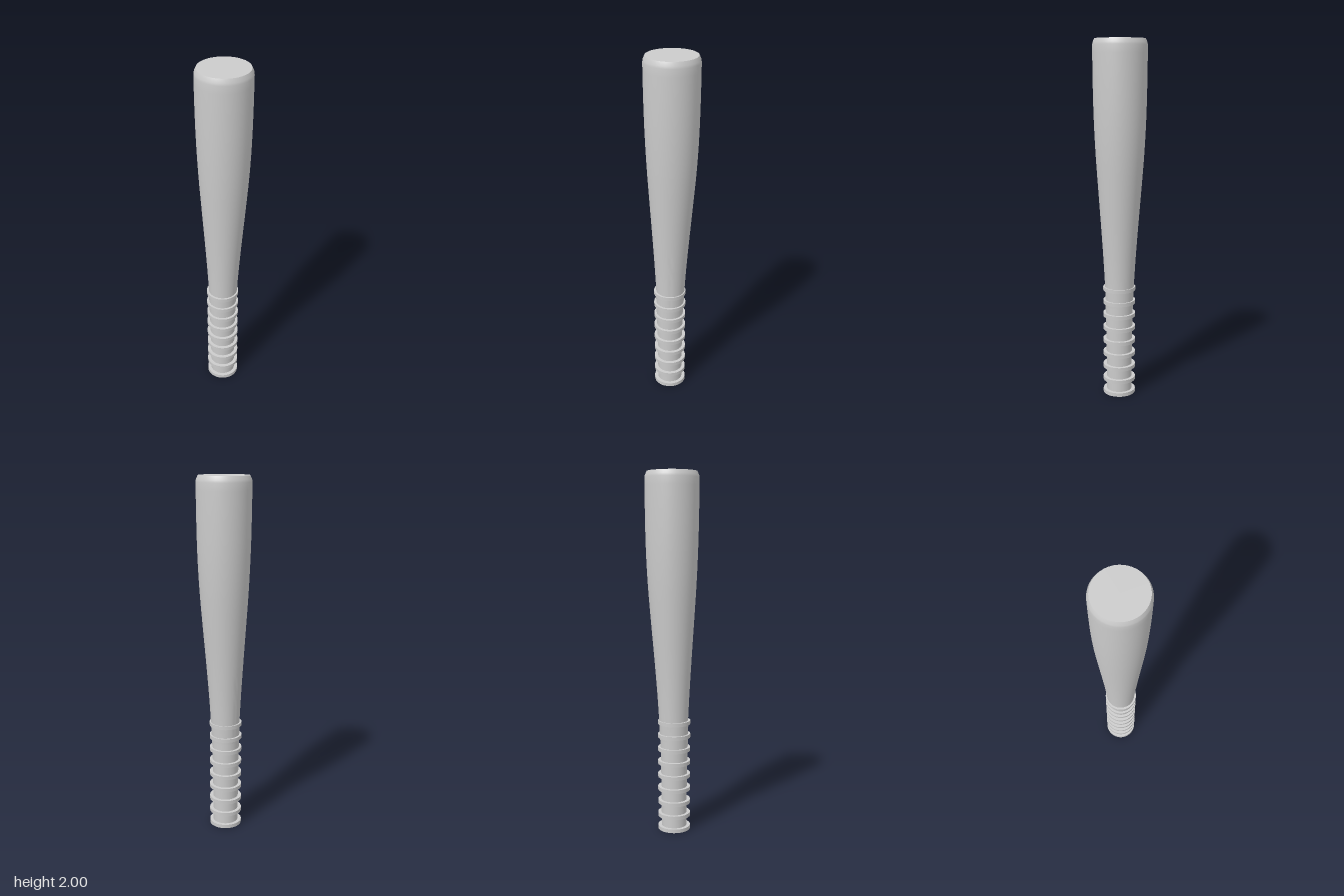
import * as THREE from 'three';
import { toCreasedNormals } from 'three/addons/utils/BufferGeometryUtils.js';

const SEGMENTS = 40;
const HANDLE_X = -0.013; // the handle sits slightly off the barrel axis

export function createModel() {
  const group = new THREE.Group();
  const material = new THREE.MeshStandardMaterial({ color: 0xcccccc });

  // Turned part from [radius, y] pairs, with its axis moved in x by offset(y)
  function turned(name, profile, offset) {
    const points = profile.map(([r, y]) => new THREE.Vector2(r, y));
    const geometry = new THREE.LatheGeometry(points, SEGMENTS);
    const pos = geometry.attributes.position;
    for (let i = 0; i < pos.count; i++) {
      pos.setX(i, pos.getX(i) + offset(pos.getY(i)));
    }
    const mesh = new THREE.Mesh(toCreasedNormals(geometry, Math.PI / 7), material);
    mesh.name = name;
    group.add(mesh);
  }

  // Barrel: smooth taper, rounded rim and flat end
  const taper = new THREE.SplineCurve([
    [0.077, 0.52], [0.082, 0.64], [0.091, 0.8], [0.105, 1.0], [0.12, 1.2],
    [0.134, 1.4], [0.143, 1.6], [0.147, 1.8], [0.148, 1.967],
  ].map(([r, y]) => new THREE.Vector2(r, y)));
  const side = taper.getPoints(24).map((p) => [p.x, p.y]);
  const barrelOffset = (y) => -0.010 * (1 - THREE.MathUtils.smoothstep(y, 0.5, 1.6));
  turned('barrel', [[0, 0.52], ...side, [0.146, 1.98], [0.137, 2], [0, 2]], barrelOffset);

  // Handle: nearly straight grip
  const handleOffset = () => HANDLE_X;
  turned('handle', [[0, 0.01], [0.071, 0.01], [0.072, 0.2], [0.075, 0.4], [0.08, 0.62], [0, 0.62]], handleOffset);

  // Grip rings, the lowest one forming the end cap
  for (let i = 0; i < 9; i++) {
    const y = i * 0.0767;
    const name = i === 0 ? 'endCap' : `gripRing${i}`;
    turned(name, [[0, y], [0.091, y], [0.091, y + 0.021], [0, y + 0.021]], handleOffset);
  }

  return group;
}
